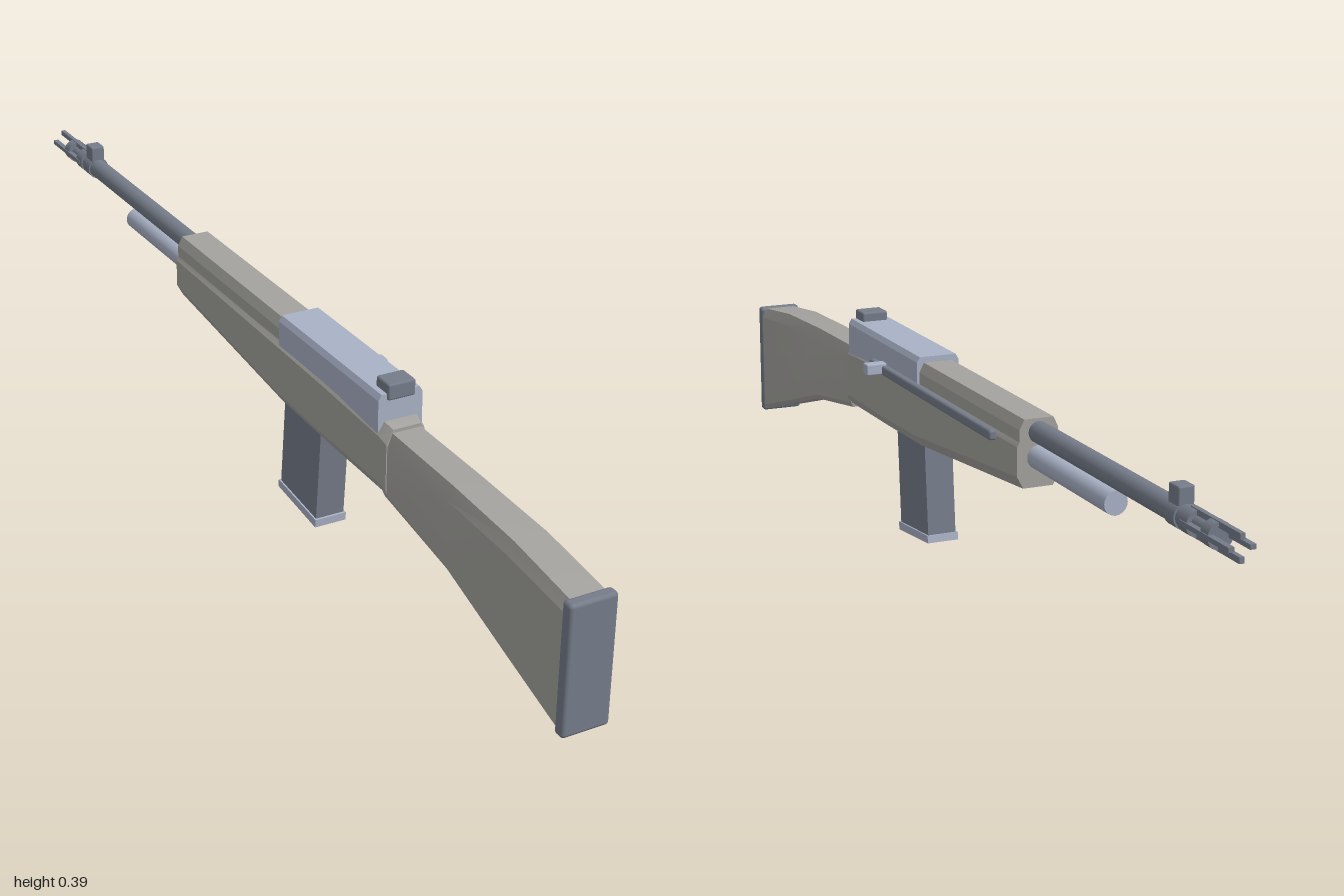
import * as THREE from 'three';
import { toCreasedNormals } from 'three/addons/utils/BufferGeometryUtils.js';
import { RoundedBoxGeometry } from 'three/addons/geometries/RoundedBoxGeometry.js';

const CX = -0.021; // centre plane of the rifle, offset by the bolt handle

const mat = (name, color) => {
  const m = new THREE.MeshStandardMaterial({ color });
  m.name = name;
  return m;
};

// Lofts chamfered sections, ordered from high z to low z:
// [z, bottom y, top y, half width, half top flat, top shoulder y, half bottom flat, bottom shoulder y]
function loft(sections) {
  const pos = [], idx = [], n = 8;
  for (const [z, yb, yt, w, tf, ts, bf, bs] of sections) {
    const ring = [[-bf, yb], [bf, yb], [w, bs], [w, ts], [tf, yt], [-tf, yt], [-w, ts], [-w, bs]];
    for (const [x, y] of ring) pos.push(x, y, z);
  }
  const last = (sections.length - 1) * n;
  for (let r = 0; r < last; r += n) {
    for (let j = 0; j < n; j++) {
      const k = (j + 1) % n;
      idx.push(r + j, r + n + j, r + n + k, r + j, r + n + k, r + k);
    }
  }
  for (let k = 1; k < n - 1; k++) idx.push(0, k, k + 1, last, last + k + 1, last + k);
  const g = new THREE.BufferGeometry();
  g.setAttribute('position', new THREE.Float32BufferAttribute(pos, 3));
  g.setIndex(idx);
  return toCreasedNormals(g, 0.4);
}

// Cylinder lying along z between two stations
function rod(r, z0, z1, open = false) {
  return new THREE.CylinderGeometry(r, r, Math.abs(z1 - z0), 20, 1, open)
    .rotateX(Math.PI / 2).translate(0, 0, (z0 + z1) / 2);
}

// Box given by its extents
function box(x0, x1, y0, y1, z0, z1, round = 0) {
  const s = [x1 - x0, y1 - y0, z1 - z0];
  const g = round ? new RoundedBoxGeometry(...s, 2, round) : new THREE.BoxGeometry(...s);
  return g.translate((x0 + x1) / 2, (y0 + y1) / 2, (z0 + z1) / 2);
}

export function createModel() {
  const wood = mat('stock grey', 0xa3a29e);
  const light = mat('light steel', 0xa9b2c6);
  const dark = mat('dark steel', 0x757c89);
  const model = new THREE.Group();
  model.name = 'rifle';
  const body = new THREE.Group();
  body.name = 'body';
  body.position.x = CX;
  model.add(body);
  const add = (name, geo, material, y = 0) => {
    const m = new THREE.Mesh(geo, material);
    m.name = name;
    m.position.y = y;
    body.add(m);
    return m;
  };

  // Shoulder stock and butt plate
  add('buttStock', loft([
    [0.985, 0.053, 0.281, 0.041, 0.031, 0.262, 0.036, 0.06],
    [0.83, 0.1, 0.3, 0.04, 0.03, 0.277, 0.035, 0.108],
    [0.65, 0.156, 0.307, 0.038, 0.028, 0.282, 0.033, 0.165],
    [0.45, 0.187, 0.31, 0.036, 0.027, 0.285, 0.031, 0.198],
  ]), wood);
  add('buttPlate', box(-0.0435, 0.0435, 0.049, 0.284, 0.977, 1, 0.007), dark);

  // Fore stock with a short bevelled collar at its rear
  add('foreStock', loft([
    [0.462, 0.19, 0.316, 0.038, 0.026, 0.29, 0.03, 0.205],
    [0.445, 0.197, 0.322, 0.043, 0.03, 0.3, 0.034, 0.215],
    [0.25, 0.2, 0.322, 0.046, 0.036, 0.31, 0.035, 0.218],
    [0.09, 0.203, 0.322, 0.045, 0.036, 0.312, 0.034, 0.222],
    [-0.34, 0.24, 0.322, 0.04, 0.036, 0.314, 0.028, 0.262],
  ]), wood);
  add('handguard', loft([
    [0.095, 0.3, 0.361, 0.037, 0.028, 0.343, 0.037, 0.302],
    [-0.34, 0.3, 0.361, 0.036, 0.027, 0.343, 0.036, 0.302],
  ]), wood);

  // Receiver and rear sight
  add('receiver', loft([
    [0.44, 0.29, 0.372, 0.042, 0.036, 0.362, 0.042, 0.292],
    [0.09, 0.29, 0.372, 0.042, 0.036, 0.362, 0.042, 0.292],
  ]), light);
  add('rearSight', box(-0.026, 0.026, 0.36, 0.39, 0.403, 0.445, 0.004), dark);

  // Operating rod and its handle on the left side
  add('operatingRod', box(0.041, 0.056, 0.306, 0.325, -0.262, 0.297, 0.005), dark);
  add('boltHandle', box(0.045, 0.086, 0.308, 0.33, 0.23, 0.252, 0.003), light);

  // Barrel and gas tube
  add('barrel', rod(0.019, -0.3, -0.87), dark, 0.337);
  add('gasTube', rod(0.021, -0.3, -0.62), light, 0.293);

  // Slotted muzzle: sleeve, rings and prongs
  add('muzzleSleeve', rod(0.022, -0.85, -0.878), dark, 0.337);
  add('muzzleCore', rod(0.014, -0.87, -0.94), dark, 0.337);
  add('muzzleRing', rod(0.022, -0.918, -0.94), dark, 0.337);
  for (let i = 0; i < 4; i++) {
    const prong = add('muzzleProng', box(-0.004, 0.004, 0.013, 0.023, -1, -0.86), dark, 0.337);
    prong.rotation.z = i * Math.PI / 2;
  }

  // Front sight
  add('frontSightBand', rod(0.022, -0.81, -0.84), dark, 0.337);
  add('frontSight', box(-0.014, 0.014, 0.35, 0.384, -0.84, -0.808, 0.003), dark);

  // Raked magazine and floor plate
  const rake = (g) => {
    const p = g.attributes.position;
    for (let i = 0; i < p.count; i++) {
      const y = p.getY(i), z = p.getZ(i);
      p.setY(i, y - (z - 0.14) * 0.11 * Math.max(0, 1 - y / 0.2));
      p.setZ(i, z + (y - 0.1) * 0.09);
    }
    g.computeVertexNormals();
    return g;
  };
  add('magazine', rake(box(-0.028, 0.028, 0.012, 0.23, 0.078, 0.212)), dark);
  add('magazineFloor', rake(box(-0.031, 0.031, 0.009, 0.024, 0.074, 0.216)), light);

  // Low trigger guard loop
  add('triggerGuardBar', box(-0.01, 0.01, 0.182, 0.188, 0.322, 0.415), light);
  for (const z of [0.322, 0.409]) {
    add('triggerGuardPost', box(-0.01, 0.01, 0.186, 0.205, z, z + 0.006), light);
  }
  return model;
}
